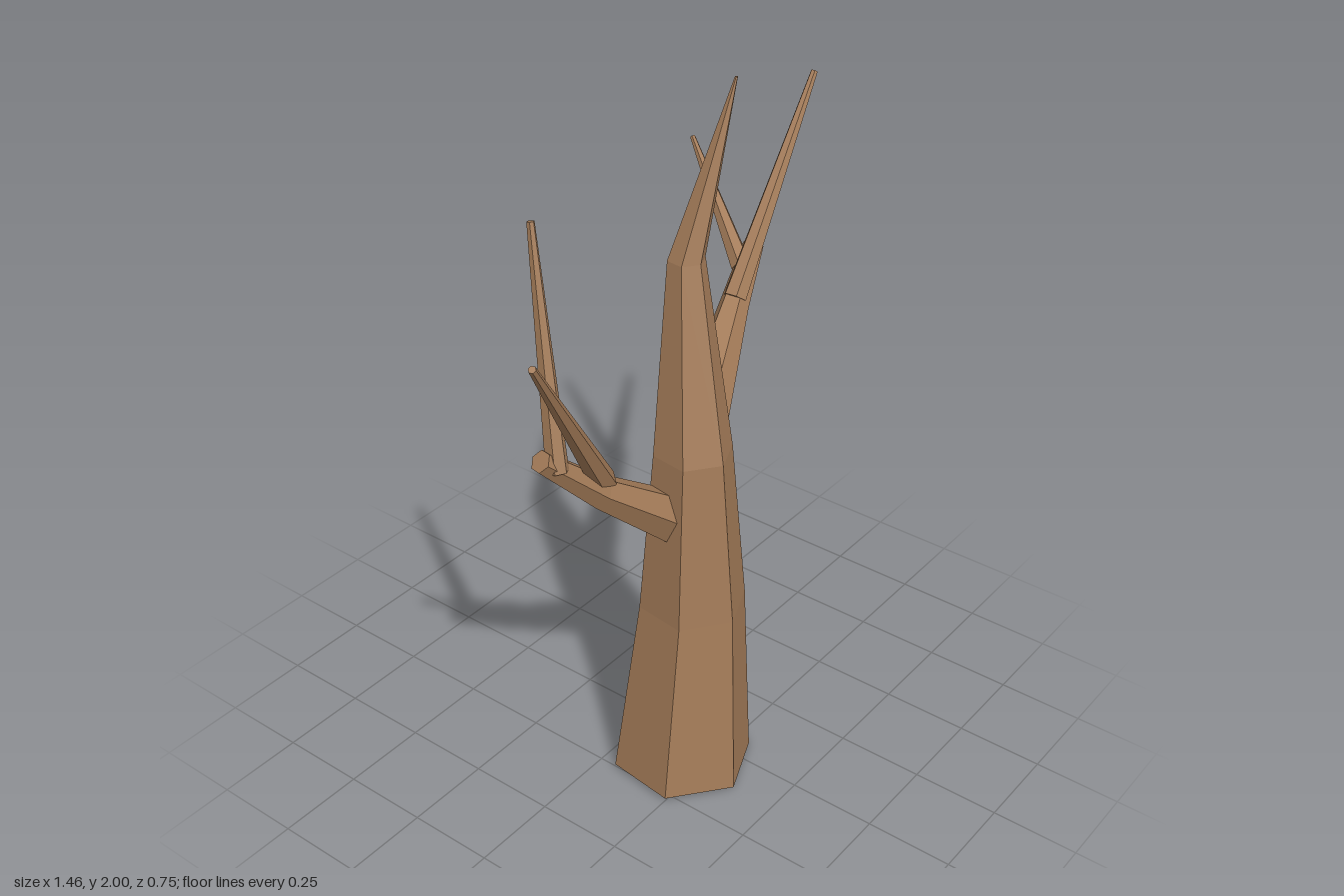
import * as THREE from 'three';

const bark = new THREE.MeshStandardMaterial({ color: 0xa37b58, flatShading: true });

// Tapered faceted limb through [x, y, z, radius] stations, capped at both ends.
// "axis" is the normal of every ring; "phase" turns the facets.
function limb(name, stations, { sides = 6, axis, phase = 0 } = {}) {
  const centres = stations.map(([x, y, z]) => new THREE.Vector3(x, y, z));
  const dir = axis ?? centres.at(-1).clone().sub(centres[0]).normalize();
  // u and v span the ring plane, with u x v = -dir
  const ref = Math.abs(dir.y) > 0.99 ? new THREE.Vector3(0, 0, 1) : new THREE.Vector3(0, 1, 0);
  const v = ref.addScaledVector(dir, -ref.dot(dir)).normalize();
  const u = new THREE.Vector3().crossVectors(dir, v).negate().negate().multiplyScalar(-1);

  const rings = stations.map(([, , , r], i) =>
    Array.from({ length: sides }, (_, k) => {
      const a = phase + (k / sides) * Math.PI * 2;
      return centres[i].clone()
        .addScaledVector(u, -r * Math.cos(a))
        .addScaledVector(v, r * Math.sin(a));
    }));

  const pos = [];
  const tri = (...pts) => pts.forEach((p) => pos.push(p.x, p.y, p.z));
  const last = rings.length - 1;
  for (let k = 0; k < sides; k++) {
    const n = (k + 1) % sides;
    for (let i = 0; i < last; i++) {
      const [a, b, c, d] = [rings[i][k], rings[i][n], rings[i + 1][n], rings[i + 1][k]];
      tri(a, c, b);
      tri(a, d, c);
    }
    tri(centres[0], rings[0][k], rings[0][n]);
    tri(centres[last], rings[last][n], rings[last][k]);
  }
  const geo = new THREE.BufferGeometry();
  geo.setAttribute('position', new THREE.Float32BufferAttribute(pos, 3));
  geo.computeVertexNormals();
  const mesh = new THREE.Mesh(geo, bark);
  mesh.name = name;
  return mesh;
}

export function createModel() {
  const tree = new THREE.Group();
  tree.name = 'bareTree';

  // Trunk: hexagonal, leaning and narrowing to a pointed top
  const trunk = limb('trunk', [
    [-0.095, 0.008, 0.175, 0.2],
    [-0.062, 0.55, 0.178, 0.15],
    [-0.06, 1.03, 0.172, 0.108],
    [-0.015, 1.55, 0.11, 0.05],
    [0.115, 2.0, 0.157, 0.004],
  ], { axis: new THREE.Vector3(0, 1, 0), phase: THREE.MathUtils.degToRad(37) });
  // the foot is cut slightly askew
  const p = trunk.geometry.attributes.position;
  for (let i = 0; i < p.count; i++) {
    if (p.getY(i) < 0.1) p.setY(i, Math.max(0, 0.008 - 0.035 * (p.getX(i) + 0.095)));
  }
  trunk.geometry.computeVertexNormals();
  tree.add(trunk);

  // Right side: one branch with two twigs
  const rightBranch = new THREE.Group();
  rightBranch.name = 'rightBranch';
  rightBranch.add(
    limb('rightBough', [
      [-0.125, 0.845, 0.145, 0.072],
      [-0.36, 1.03, 0.1, 0.046],
      [-0.54, 1.2, 0.07, 0.03],
    ]),
    limb('rightOuterTwig', [[-0.34, 1.05, 0.1, 0.036], [-0.725, 1.598, 0.223, 0.01]]),
    limb('rightInnerTwig', [[-0.502, 1.16, 0.09, 0.03], [-0.432, 1.77, -0.03, 0.01]]),
  );
  tree.add(rightBranch);

  // Left side: one branch with two twigs
  const leftBranch = new THREE.Group();
  leftBranch.name = 'leftBranch';
  leftBranch.add(
    limb('leftBough', [
      [0.0, 1.085, 0.15, 0.074],
      [0.3, 1.255, 0.035, 0.042],
      [0.47, 1.355, -0.025, 0.03],
    ]),
    limb('leftUpperTwig', [[0.305, 1.28, 0.035, 0.034], [0.722, 1.785, -0.014, 0.01]]),
    limb('leftBackTwig', [[0.405, 1.315, -0.015, 0.03], [0.65, 1.522, -0.37, 0.008]]),
  );
  tree.add(leftBranch);

  return tree;
}
